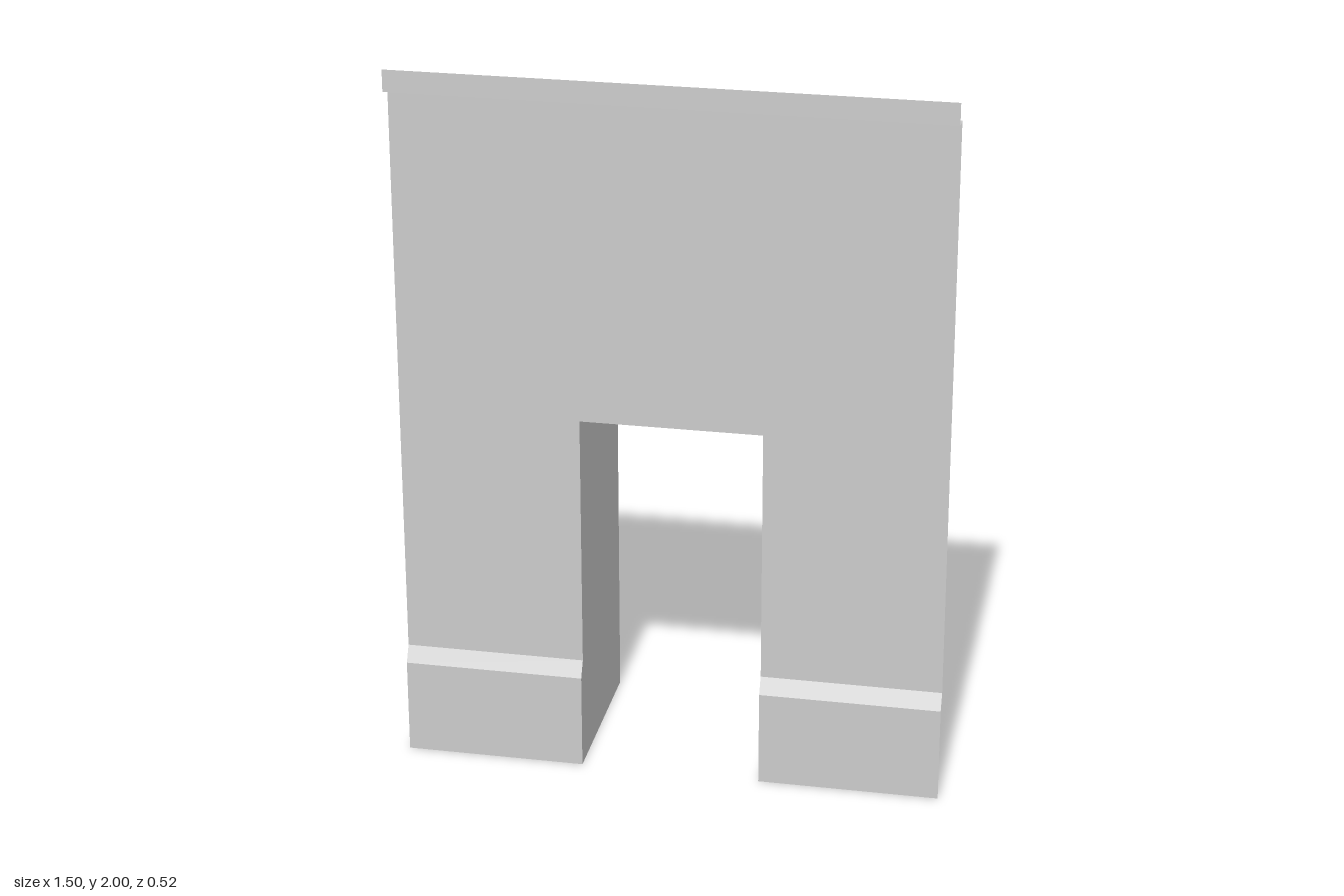
import * as THREE from 'three';

const material = new THREE.MeshStandardMaterial({ color: 0xcccccc, flatShading: true, side: THREE.DoubleSide });

const W = 0.75;      // half width of the wall
const D = 0.25;      // half width of the doorway
const H = 1.035;     // doorway height
const BACK = -0.262; // rear edge of the doorway lining
const WALL = 0.217;  // wall plane
const BASE = 0.24;   // skirting plane
const LIP = 0.262;   // top lip plane

// Folded sheet: a [y, z] profile swept from x0 to x1
function sheet(name, profile, x0, x1) {
  const positions = [];
  for (let i = 0; i < profile.length - 1; i++) {
    const [ya, za] = profile[i];
    const [yb, zb] = profile[i + 1];
    positions.push(x0, ya, za, x1, ya, za, x1, yb, zb);
    positions.push(x0, ya, za, x1, yb, zb, x0, yb, zb);
  }
  const geometry = new THREE.BufferGeometry();
  geometry.setAttribute('position', new THREE.Float32BufferAttribute(positions, 3));
  geometry.computeVertexNormals();
  const mesh = new THREE.Mesh(geometry, material);
  mesh.name = name;
  return mesh;
}

export function createModel() {
  const group = new THREE.Group();
  group.name = 'doorwayWall';

  // Skirting, its sloped top, and the wall beside the door
  const skirting = [[0, BASE], [0.27, BASE], [0.315, WALL]];
  const sidePanel = [...skirting, [H, WALL]];
  group.add(sheet('rightSidePanel', sidePanel, -W, -D));
  group.add(sheet('leftSidePanel', sidePanel, D, W));

  // Wall above the door, stepping forward into an upright lip
  group.add(sheet('upperPanel', [[H, WALL], [1.94, WALL]], -W, W));
  group.add(sheet('topLip', [[1.94, WALL], [1.94, LIP], [2, LIP]], -W, W));

  // Doorway lining: ceiling and two jambs that follow the skirting
  group.add(sheet('doorCeiling', [[H, WALL], [H, BACK]], -D, D));
  const outline = [[0, BACK], ...sidePanel, [H, BACK]];
  const shape = new THREE.Shape(outline.map(([y, z]) => new THREE.Vector2(z, y)));
  for (const side of [-1, 1]) {
    const geometry = new THREE.ShapeGeometry(shape).rotateY(-Math.PI / 2);
    // Turn the left jamb's front face toward the opening
    if (side < 0) geometry.index.array.reverse();
    const jamb = new THREE.Mesh(geometry, material);
    jamb.name = side < 0 ? 'rightJamb' : 'leftJamb';
    jamb.position.x = side * D;
    if (side < 0) geometry.computeVertexNormals();
    group.add(jamb);
  }
  return group;
}
